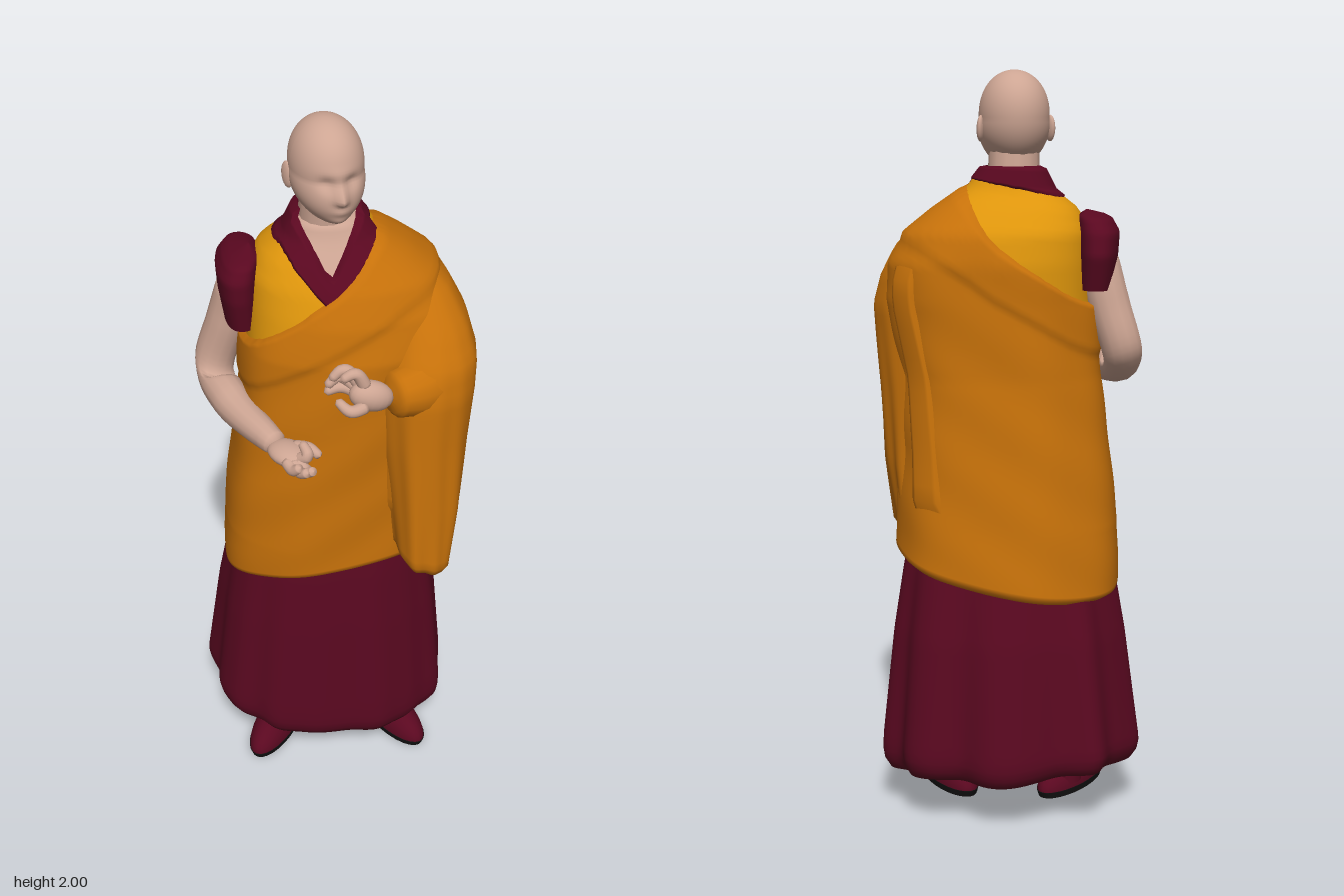
import * as THREE from 'three';

const mat = (name, color) => {
  const m = new THREE.MeshStandardMaterial({ color, side: THREE.DoubleSide });
  m.name = name;
  return m;
};

// Surface from a rule fn(u, v) -> [x, y, z]; u runs around, v runs up
function grid(nu, nv, fn, wrap = true) {
  const pos = [], idx = [], cols = wrap ? nu : nu + 1;
  for (let j = 0; j <= nv; j++)
    for (let i = 0; i < cols; i++) pos.push(...fn(i / nu, j / nv));
  for (let j = 0; j < nv; j++)
    for (let i = 0; i < nu; i++) {
      const k = (i + 1) % cols;
      const a = j * cols + i, b = j * cols + k, c = b + cols, d = a + cols;
      idx.push(a, d, c, a, c, b);
    }
  const g = new THREE.BufferGeometry();
  g.setAttribute('position', new THREE.Float32BufferAttribute(pos, 3));
  g.setIndex(idx);
  g.computeVertexNormals();
  return g;
}

// Cross-section tables: [y, xMin, xMax, zMin, zMax]
const BODY = [
  [0.6, -0.3, 0.3, -0.31, 0.2], [0.8, -0.295, 0.295, -0.288, 0.2], [1.0, -0.272, 0.285, -0.268, 0.2],
  [1.2, -0.245, 0.285, -0.25, 0.2], [1.4, -0.23, 0.32, -0.245, 0.195], [1.5, -0.225, 0.31, -0.243, 0.17],
  [1.58, -0.22, 0.265, -0.225, 0.138], [1.64, -0.19, 0.19, -0.18, 0.1], [1.69, -0.125, 0.118, -0.137, 0.07],
  [1.75, -0.095, 0.07, -0.122, 0.048]];
const SKIRT = [
  [0.08, -0.352, 0.333, -0.35, 0.205], [0.2, -0.355, 0.333, -0.347, 0.205], [0.5, -0.318, 0.305, -0.315, 0.193],
  [0.68, -0.288, 0.28, -0.28, 0.183], [0.85, -0.25, 0.25, -0.235, 0.165]];
const SLEEVE = [
  [0.72, 0.14, 0.305, -0.165, 0.29], [0.95, 0.115, 0.34, -0.15, 0.275], [1.15, 0.098, 0.352, -0.14, 0.264],
  [1.3, 0.09, 0.366, -0.13, 0.257], [1.38, 0.1, 0.371, -0.125, 0.235], [1.46, 0.13, 0.348, -0.12, 0.175],
  [1.54, 0.14, 0.305, -0.11, 0.1], [1.61, 0.16, 0.23, -0.08, 0.03]];
const CAP = [
  [1.43, -0.28, -0.19, -0.16, 0.045], [1.52, -0.294, -0.19, -0.188, 0.065], [1.58, -0.298, -0.188, -0.178, 0.068],
  [1.615, -0.278, -0.188, -0.15, 0.05], [1.635, -0.24, -0.19, -0.1, 0]];

function section(table, th, y, off = 0) {
  let i = 0;
  while (i < table.length - 2 && y > table[i + 1][0]) i++;
  const A = table[i], B = table[i + 1];
  const t = THREE.MathUtils.clamp((y - A[0]) / (B[0] - A[0]), 0, 1);
  const [, x0, x1, z0, z1] = A.map((a, k) => a + (B[k] - a) * t);
  const bend = (c) => Math.sign(c) * Math.abs(c) ** 0.85;
  return [(x0 + x1) / 2 + ((x1 - x0) / 2 + off) * bend(Math.cos(th)), y,
    (z0 + z1) / 2 + ((z1 - z0) / 2 + off) * bend(Math.sin(th))];
}

// Height at which the body surface first rises over the line f(x, z)
function edge(th, f) {
  for (let y = 1.3; y < 1.75; y += 0.002) {
    const p = section(BODY, th, y);
    if (y >= f(p[0], p[2])) return y;
  }
  return 1.75;
}

// Tapered tube through points, closed at both ends
function limb(points, radii, n = 20) {
  const curve = new THREE.CatmullRomCurve3(points.map((p) => new THREE.Vector3(...p)));
  const fr = curve.computeFrenetFrames(n);
  return grid(14, n, (u, v) => {
    const s = v * (radii.length - 1), i = Math.min(Math.floor(s), radii.length - 2);
    const r = (radii[i] + (radii[i + 1] - radii[i]) * (s - i)) * Math.sqrt(Math.min(1, 14 * v * (1 - v)));
    const j = Math.round(v * n), a = -u * Math.PI * 2;
    return curve.getPoint(v).addScaledVector(fr.normals[j], r * Math.cos(a))
      .addScaledVector(fr.binormals[j], r * Math.sin(a)).toArray();
  });
}

export function createModel() {
  const model = new THREE.Group();
  const skin = mat('skin', 0xcda593), orange = mat('orange cloth', 0xc6710a), yellow = mat('yellow cloth', 0xdf960c);
  const red = mat('dark red cloth', 0x5a0820), black = mat('black sole', 0x131212);
  const add = (name, geo, material, parent = model) => {
    const m = new THREE.Mesh(geo, material);
    m.name = name;
    parent.add(m);
    return m;
  };
  const TAU = Math.PI * 2, step = THREE.MathUtils.smoothstep;

  // Pleated skirt, closed underneath
  add('skirt', grid(144, 30, (u, v) => {
    const th = u * TAU, back = (1 - Math.sin(th)) / 2;
    const hem = 0.09 + 0.04 * back + 0.035 * Math.max(0, -Math.cos(th)) + 0.004 * Math.sin(5 * th);
    if (v === 0) return [-0.01, 0.15, -0.07];
    const k = (v - 1 / 30) / (29 / 30), y = hem + (0.84 - hem) * k;
    const fold = (0.004 + 0.014 * back) * Math.cos(9 * (th + Math.PI / 2)) + 0.003 * Math.sin(16 * th);
    return section(SKIRT, th, y, fold * (1 - 0.85 * k) - 0.02 * step(1 - k, 0.95, 1));
  }), red);

  // Chest, shirt and collar in layers
  const neckLine = (x, z) => (z > 0 ? Math.min(1.745, 1.6 + 1.5 * Math.abs(x + 0.015)) : 1.745);
  const collarLine = (x, z) => {
    const back = 1.695 + 0.2 * x;
    return z > 0 ? Math.min(back, 1.53 + 1.1 * Math.abs(x + 0.015)) : back;
  };
  add('chest', grid(64, 20, (u, v) =>
    (v === 1 ? [-0.015, 1.75, -0.03] : section(BODY, u * TAU, 1.45 + 0.29 * v, -0.014))), skin);
  add('shirt', grid(96, 24, (u, v) => {
    const top = edge(u * TAU, collarLine) + 0.012;
    return section(BODY, u * TAU, 1.3 + (top - 1.3) * v, -0.003);
  }), yellow);
  add('collar', grid(96, 10, (u, v) => {
    const low = edge(u * TAU, collarLine), high = edge(u * TAU, neckLine) + 0.005;
    return section(BODY, u * TAU, low + (high - low) * v, v === 0 || v === 1 ? -0.012 : 0.004);
  }), red);

  // Robe wrapped under the right arm and over the left shoulder
  const wrapLine = (x, z) => Math.min(1.725, 1.565 + 0.12 * z + 0.72 * x + (x > 0 ? 5 * x * x : 0));
  add('robe', grid(120, 80, (u, v) => {
    const th = u * TAU, h = section(BODY, th, 0.68);
    const hem = 0.69 + 0.17 * h[0] + 0.18 * h[2], top = edge(th, wrapLine);
    const y = hem + (top - hem) * v, x = section(BODY, th, y)[0];
    const calm = 1 - step(y, 1.45, 1.65);
    let off = 0.007 + 0.007 * step(y, top - 0.15, top - 0.12);
    off += calm * (0.003 * Math.sin(7 * th + 2 * y) + 0.0015 * Math.sin(30 * (y - 0.7 * x)));
    if (v === 0 || v === 1) off -= 0.016;
    return section(BODY, th, y, off);
  }), orange);

  // Loose folds lying on the robe: angle range, height range, slant
  const flap = (name, a0, a1, y0, y1, slant, lift) => add(name, grid(10, 16, (u, v) => {
    const rim = u === 0 || u === 1 || v === 0 || v === 1;
    const th = THREE.MathUtils.degToRad(a0 + (a1 - a0) * u + slant * v);
    return section(BODY, th, y0 + (y1 - y0) * v, rim ? 0.004 : lift);
  }, false), orange);
  flap('innerSleeveFold', 46, 68, 0.92, 1.32, 4, 0.032);
  flap('backFlap', -62, -40, 0.84, 1.5, 12, 0.017);

  // Hanging left sleeve, gathered at the wrist
  add('leftSleeve', grid(80, 40, (u, v) => {
    const th = u * TAU, h = section(SLEEVE, th, 0.8);
    const hem = 0.785 - 0.1 * h[2] - 0.35 * (h[0] - 0.24);
    if (v === 0) return [0.23, 0.86, 0.05];
    if (v === 1) return [0.2, 1.62, -0.02];
    const k = (v - 1 / 40) / (39 / 40), y = hem + (1.61 - hem) * k;
    const fold = (0.007 * Math.sin(6 * th + 3 * y) + 0.003 * Math.sin(13 * th - 4 * y)) * (1 - k);
    return section(SLEEVE, th, y, fold - (k === 0 ? 0.012 : 0));
  }), orange);
  add('leftCuff', limb([[0.29, 1.34, 0.08], [0.21, 1.325, 0.175], [0.115, 1.325, 0.225]], [0.1, 0.088, 0.056]), orange);

  // Short right sleeve and bare right arm
  add('rightSleeve', grid(48, 20, (u, v) =>
    (v === 1 ? [-0.21, 1.638, -0.05] : section(CAP, u * TAU, 1.43 + 0.205 * v))), red);
  add('rightArm', limb(
    [[-0.228, 1.56, -0.06], [-0.268, 1.4, -0.085], [-0.31, 1.25, -0.085], [-0.27, 1.215, 0.05], [-0.19, 1.205, 0.2], [-0.165, 1.202, 0.24]],
    [0.056, 0.057, 0.054, 0.052, 0.037, 0.03], 40), skin);

  // Hands: palm, then each finger as a tapered tube
  const hand = (name, palm, size, yaw, roll, fingers) => {
    const g = new THREE.Group();
    g.name = name;
    model.add(g);
    const p = add('palm', new THREE.SphereGeometry(1, 20, 14), skin, g);
    p.position.set(...palm);
    p.scale.set(...size);
    p.rotation.set(0, yaw, roll, 'YXZ');
    fingers.forEach((f, i) => add(i ? 'finger' : 'thumb', limb(f, [0.018, 0.016, 0.011], 14), skin, g));
  };
  hand('rightHand', [-0.142, 1.2, 0.27], [0.046, 0.026, 0.062], 0.66, 0, [
    [[-0.13, 1.205, 0.25], [-0.09, 1.215, 0.275], [-0.063, 1.21, 0.308]],
    [[-0.12, 1.2, 0.3], [-0.097, 1.222, 0.315], [-0.11, 1.245, 0.285]],
    [[-0.125, 1.2, 0.305], [-0.1, 1.19, 0.34], [-0.085, 1.205, 0.362]],
    [[-0.135, 1.2, 0.305], [-0.117, 1.188, 0.34], [-0.1, 1.205, 0.368]],
    [[-0.15, 1.2, 0.3], [-0.135, 1.193, 0.335], [-0.118, 1.215, 0.356]]]);
  hand('leftHand', [0.072, 1.35, 0.252], [0.06, 0.042, 0.036], 0.15, -0.35, [
    [[0.06, 1.335, 0.275], [0.015, 1.335, 0.295], [-0.02, 1.36, 0.275]],
    [[0.06, 1.375, 0.255], [0.03, 1.425, 0.26], [-0.008, 1.412, 0.268]],
    [[0.05, 1.37, 0.24], [0.005, 1.422, 0.232], [-0.032, 1.395, 0.238]],
    [[0.045, 1.36, 0.235], [-0.005, 1.395, 0.222], [-0.042, 1.37, 0.23]],
    [[0.05, 1.345, 0.235], [0, 1.365, 0.225], [-0.046, 1.352, 0.228]]]);

  // Neck and head, turned slightly to the left
  add('neck', limb([[-0.015, 1.6, -0.04], [-0.015, 1.7, -0.03], [-0.015, 1.84, -0.015]], [0.085, 0.07, 0.066]), skin);
  const head = new THREE.Group();
  head.name = 'head';
  head.position.set(-0.015, 1.87, -0.014);
  head.rotation.y = 0.22;
  model.add(head);
  const skull = new THREE.SphereGeometry(1, 64, 56), P = skull.attributes.position;
  const bump = (x, y, cx, cy, wx, wy) => Math.exp(-(((x - cx) / wx) ** 2) - ((y - cy) / wy) ** 2);
  for (let i = 0; i < P.count; i++) {
    const x = P.getX(i), y = P.getY(i), z = P.getZ(i), t = Math.max(0, -y);
    const wide = 1 + 0.2 * t + 0.1 * Math.max(0, y);
    let d = 0;
    if (z > 0) {
      const ramp = step(y, -0.46, -0.32) * (1 - step(y, -0.32, 0.16));
      d += 0.021 * ramp * Math.exp(-((x / 0.15) ** 2));
      d -= 0.01 * (bump(x, y, 0.34, 0, 0.2, 0.14) + bump(x, y, -0.34, 0, 0.2, 0.14));
      d += 0.004 * bump(x, y, 0, 0.18, 0.5, 0.12) + 0.005 * bump(x, y, 0, -0.58, 0.22, 0.08);
      d += 0.012 * bump(x, y, 0, -0.84, 0.3, 0.13);
    }
    P.setXYZ(i, 0.093 * x * wide * (1 - 0.22 * t * t), 0.13 * y, 0.114 * z * wide + 0.03 * t + d);
  }
  skull.computeVertexNormals();
  add('skull', skull, skin, head);
  for (const s of [1, -1]) {
    const ear = add('ear', new THREE.SphereGeometry(1, 16, 12), skin, head);
    ear.position.set(s * 0.093, -0.022, -0.02);
    ear.scale.set(0.01, 0.035, 0.022);
    ear.rotation.set(-0.15, s * -0.35, 0);
  }

  // Shoes with dark soles, toes turned out
  for (const s of [1, -1]) {
    const shoe = new THREE.Group();
    shoe.name = s > 0 ? 'leftShoe' : 'rightShoe';
    shoe.position.set(s * 0.173, 0, 0.04);
    shoe.rotation.y = s * 0.5;
    model.add(shoe);
    const upper = add('shoeUpper', new THREE.SphereGeometry(1, 28, 10, 0, TAU, 0, Math.PI / 2), red, shoe);
    upper.scale.set(0.059, 0.072, 0.152);
    upper.position.y = 0.015;
    const sole = add('sole', new THREE.CylinderGeometry(1, 0.95, 0.018, 28), black, shoe);
    sole.scale.set(0.06, 1, 0.154);
    sole.position.y = 0.009;
    const ankle = add('ankle', new THREE.CylinderGeometry(0.052, 0.058, 0.14, 20), red, shoe);
    ankle.position.set(0, 0.1, -0.05);
  }
  return model;
}
